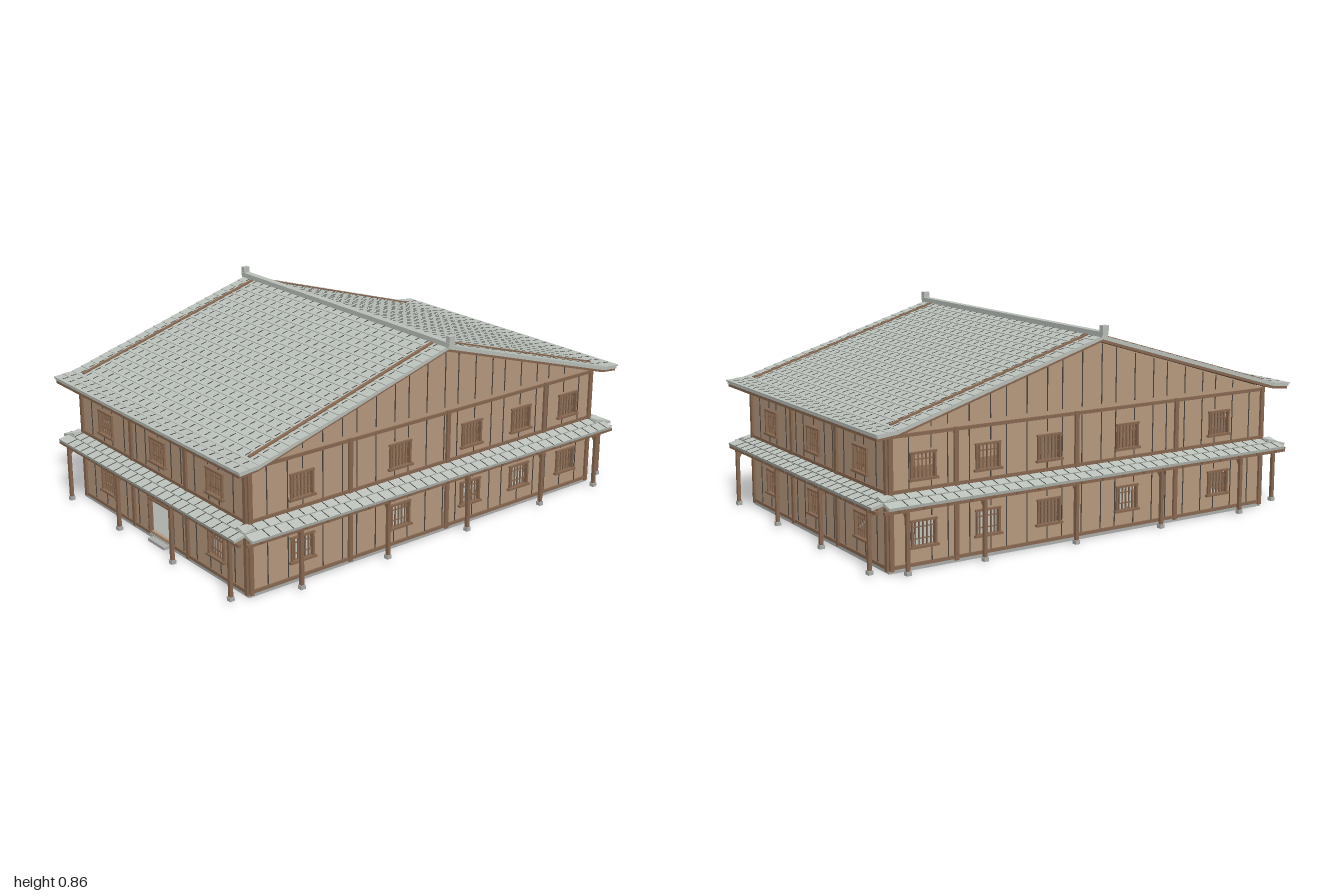
import * as THREE from 'three';
import { mergeGeometries } from 'three/addons/utils/BufferGeometryUtils.js';

const mat = (name, color, side = THREE.FrontSide) => {
  const m = new THREE.MeshStandardMaterial({ color, side });
  m.name = name;
  return m;
};

export function createModel() {
  const model = new THREE.Group();
  model.name = 'house';
  const plaster = mat('tan boards', 0xb99b80);
  const timber = mat('brown timber', 0x8a6a52);
  const tile = mat('grey tile', 0xbcc2bc);
  const seam = mat('dark seam', 0x4a4642);
  const stone = mat('floor stone', 0xaeb0ac);

  // box with optional tilt about x
  const box = (w, h, d, x, y, z, tilt = 0) =>
    new THREE.BoxGeometry(w, h, d).rotateX(tilt).translate(x, y, z);
  const add = (parent, name, material, geos) => {
    const mesh = new THREE.Mesh(mergeGeometries(geos), material);
    mesh.name = name;
    parent.add(mesh);
    return mesh;
  };

  const HX = 0.605, HZ = 0.905, TOP = 0.52, SKIN = 0.012;
  const STORIES = [[0.025, 0.262, 0.09, 0.187], [0.3, 0.51, 0.345, 0.442]];
  const WIN = 0.1;

  // One facade in local space: u along x, outward is +z, wall face at z = 0
  function facade(name, half, windows, columns, posts, opts) {
    const g = new THREE.Group();
    g.name = name;
    const openings = [];
    STORIES.forEach(([, , a, b], i) => windows.forEach(u => {
      if (opts.door && i === 0 && u === 0) openings.push({ u, w: 0.16, a: 0.03, b: 0.175, door: true });
      else openings.push({ u, w: WIN, a, b });
    }));

    // wall skin with real openings
    const s = new THREE.Shape();
    s.moveTo(-half, 0.01);
    s.lineTo(half, 0.01);
    s.lineTo(half, TOP);
    if (opts.gable) s.lineTo(0, 0.795);
    s.lineTo(-half, TOP);
    s.closePath();
    for (const o of openings) {
      const h = new THREE.Path();
      h.moveTo(o.u - o.w / 2, o.a);
      h.lineTo(o.u - o.w / 2, o.b);
      h.lineTo(o.u + o.w / 2, o.b);
      h.lineTo(o.u + o.w / 2, o.a);
      h.closePath();
      s.holes.push(h);
    }
    add(g, 'wall', plaster,
      [new THREE.ExtrudeGeometry(s, { depth: SKIN, bevelEnabled: false }).translate(0, 0, -SKIN)]);

    // board joints, broken around the openings
    const joints = [];
    const n = Math.round(half * 2 / 0.087);
    for (let i = 1; i < n; i++) {
      const u = -half + (i * 2 * half) / n + (i % 3 - 1) * 0.008;
      for (const [y0, y1] of STORIES) {
        const o = openings.find(p => Math.abs(p.u - u) < p.w / 2 + 0.008 && p.a >= y0 && p.b <= y1);
        for (const [a, b] of o ? [[y0, o.a - 0.012], [o.b + 0.012, y1]] : [[y0, y1]])
          if (b > a) joints.push(box(0.0035, b - a, 0.003, u, (a + b) / 2, 0.001));
      }
      const peak = 0.79 - Math.abs(u) * 0.304;
      if (opts.gable && peak > 0.55) joints.push(box(0.0035, peak - 0.535, 0.003, u, (peak + 0.535) / 2, 0.001));
    }
    add(g, 'boardJoints', seam, joints);

    // timber columns and rails
    const frame = columns.map(u => box(0.018, TOP - 0.01, 0.016, u, 0.01 + (TOP - 0.01) / 2, 0.002));
    for (const y of [0.258, 0.305, 0.512]) frame.push(box(half * 2, 0.013, 0.014, 0, y, 0));
    for (const [a, b] of opts.door ? [[-half, -0.085], [0.085, half]] : [[-half, half]])
      frame.push(box(b - a, 0.013, 0.014, (a + b) / 2, 0.022, 0));
    add(g, 'wallFrame', timber, frame);

    // window frames and lattice
    const lattice = [];
    for (const o of openings) {
      const h = o.b - o.a, cy = (o.a + o.b) / 2;
      for (const e of [-1, 1]) lattice.push(box(0.008, h + 0.008, 0.018, o.u + e * o.w / 2, cy, 0));
      lattice.push(box(o.w + 0.014, 0.008, 0.02, o.u, o.b, 0));
      if (o.door) {
        lattice.push(box(0.15, 0.045, 0.012, 0, 0.205, 0.004));
        lattice.push(box(0.16, 0.007, 0.024, 0, 0.23, 0.008));
        continue;
      }
      lattice.push(box(o.w + 0.024, 0.009, 0.024, o.u, o.a - 0.003, 0.002));
      for (let k = 1; k < 6; k++) lattice.push(box(0.0045, h, 0.006, o.u + (k / 6 - 0.5) * o.w, cy, -0.003));
      for (const f of [0.27, 0.73]) lattice.push(box(o.w, 0.004, 0.005, o.u, o.a + h * f, -0.004));
    }
    add(g, 'windowFrames', timber, lattice);
    if (opts.door) add(g, 'doorStep', stone, [box(0.12, 0.012, 0.03, 0, 0.006, 0.015)]);

    // tiled canopy in two stepped rows
    const len = half + 0.045, roof = [], lines = [];
    const rows = [[0.022, 0.289, 0.05], [0.068, 0.274, 0.05]];
    for (const [z, y, d] of rows) roof.push(box(len * 2, 0.012, d, 0, y, z, 0.22));
    const m = Math.round(len * 2 / 0.055);
    for (let i = 1; i < m; i++) rows.forEach(([z, y, d], r) =>
      lines.push(box(0.003, 0.004, d, -len + (2 * len * (i + r * 0.4)) / m, y + 0.0055, z, 0.22)));
    lines.push(box(len * 2, 0.003, 0.003, 0, 0.279, 0.0475));
    add(g, 'canopyTiles', tile, roof);
    add(g, 'canopySeams', seam, lines);

    // rafters, outer beam, posts with braces and stone feet
    const wood = [box(len * 2 + 0.03, 0.012, 0.014, 0, 0.254, 0.077)];
    const r = Math.round(half * 2 / 0.1);
    for (let i = 0; i <= r; i++) wood.push(box(0.01, 0.01, 0.09, -half + (2 * half * i) / r, 0.265, 0.045, 0.2));
    const feet = [];
    for (const u of posts) {
      wood.push(box(0.014, 0.235, 0.014, u, 0.137, 0.077));
      wood.push(box(0.01, 0.055, 0.009, u, 0.236, 0.062, -0.6));
      feet.push(box(0.021, 0.016, 0.021, u, 0.019, 0.077));
    }
    add(g, 'canopyTimber', timber, wood);
    add(g, 'postFeet', stone, feet);
    model.add(g);
    return g;
  }

  // front and back
  const shortPosts = [-0.597, -0.2, 0.2, 0.597];
  facade('frontWall', HX, [-0.4, 0, 0.4], shortPosts, shortPosts, { door: true }).position.z = HZ;
  const back = facade('backWall', HX, [-0.4, 0, 0.4], shortPosts, shortPosts, {});
  back.position.z = -HZ;
  back.rotation.y = Math.PI;

  // gabled long sides
  for (const s of [1, -1]) {
    const along = list => list.map(z => -s * z);
    const side = facade(s > 0 ? 'leftWall' : 'rightWall', HZ, along([0.66, 0.18, -0.2, -0.48, -0.76]),
      along([0.897, 0.43, -0.07, -0.62, -0.897]), along([0.72, 0.3, -0.12, -0.54, -0.87]), { gable: true });
    side.position.x = s * HX;
    side.rotation.y = s * Math.PI / 2;
  }

  // floors and inner partitions
  add(model, 'groundFloor', stone, [box(HX * 2 + 0.006, 0.014, HZ * 2 + 0.006, 0, 0.008, 0)]);
  const grout = [];
  for (let x = -0.55; x < 0.6; x += 0.055) grout.push(box(0.003, 0.002, HZ * 2, x, 0.001, 0));
  for (let z = -0.88; z < 0.9; z += 0.055) grout.push(box(HX * 2, 0.002, 0.003, 0, 0.001, z));
  add(model, 'floorJoints', seam, grout);
  add(model, 'upperFloors', timber, [0.28, 0.516].map(y => box(HX * 2 - 0.03, 0.01, HZ * 2 - 0.03, 0, y, 0)));
  const inner = [];
  for (const s of [-1, 1]) {
    for (const [a, b] of [[0.016, 0.274], [0.286, 0.51]])
      inner.push(box(0.38, b - a, 0.01, s * 0.4, (a + b) / 2, -0.07));
    inner.push(box(0.01, 0.224, 0.82, s * 0.21, 0.398, -0.48));
  }
  add(model, 'partitions', plaster, inner);

  // main roof: tiled layer over a timber deck, sharing one bent profile
  const roof = new THREE.Group();
  roof.name = 'roof';
  model.add(roof);
  const profile = [[0, 0.815], [0.9, 0.546], [0.982, 0.538]];
  const layer = (name, material, drop, thick, width) => {
    const half = profile.map(([z, y]) => [z, y - drop]);
    const top = [...half.slice(1).reverse().map(([z, y]) => [-z, y]), ...half];
    const under = [...top].reverse().map(([z, y]) => [z, y - thick]);
    const shape = new THREE.Shape([...top, ...under].map(p => new THREE.Vector2(...p)));
    add(roof, name, material, [new THREE.ExtrudeGeometry(shape, { depth: width, bevelEnabled: false })
      .translate(0, 0, -width / 2).rotateY(Math.PI / 2)]);
  };
  layer('roofBed', tile, 0, 0.011, 1.355);
  layer('roofDeck', timber, 0.011, 0.011, 1.34);

  // overlapping courses with broken dark joints
  const courses = [], dashes = [];
  const W = 1.36, COLS = 26, slope = Math.atan2(0.269, 0.9);
  for (const s of [-1, 1]) {
    for (let i = 0; i < 22; i++) {
      const eave = i >= 20;
      const z = eave ? 0.9 + (i - 19.5) * 0.042 : (i + 0.5) * 0.045;
      const y = eave ? 0.546 - (z - 0.9) * 0.0976 : 0.815 - z * 0.2989;
      const a = eave ? 0.06 : slope - 0.05;
      courses.push(box(W, 0.006, 0.05, 0, y + 0.002, s * z, s * a));
      for (let c = 1; c < COLS; c++) {
        const x = -W / 2 + (W * c) / COLS + (i % 2 ? 0.002 : -0.002);
        dashes.push(box(0.004, 0.003, 0.026, x, y + 0.0048, s * z, s * a));
      }
    }
  }
  add(roof, 'roofCourses', tile, courses);
  add(roof, 'roofJoints', seam, dashes);

  // gable timbers showing through the tiles
  const strips = [];
  for (const x of [-0.602, 0.602]) for (const s of [-1, 1])
    strips.push(box(0.014, 0.012, 0.91, x, 0.815 - 0.455 * 0.2989 + 0.005, s * 0.455, s * slope));
  add(roof, 'gableTimbers', timber, strips);

  // ridge with raised ends
  const ridge = [box(1.38, 0.022, 0.03, 0, 0.824, 0)];
  for (const s of [-1, 1]) ridge.push(box(0.022, 0.038, 0.028, s * 0.684, 0.841, 0));
  add(roof, 'ridge', tile, ridge);

  return model;
}
